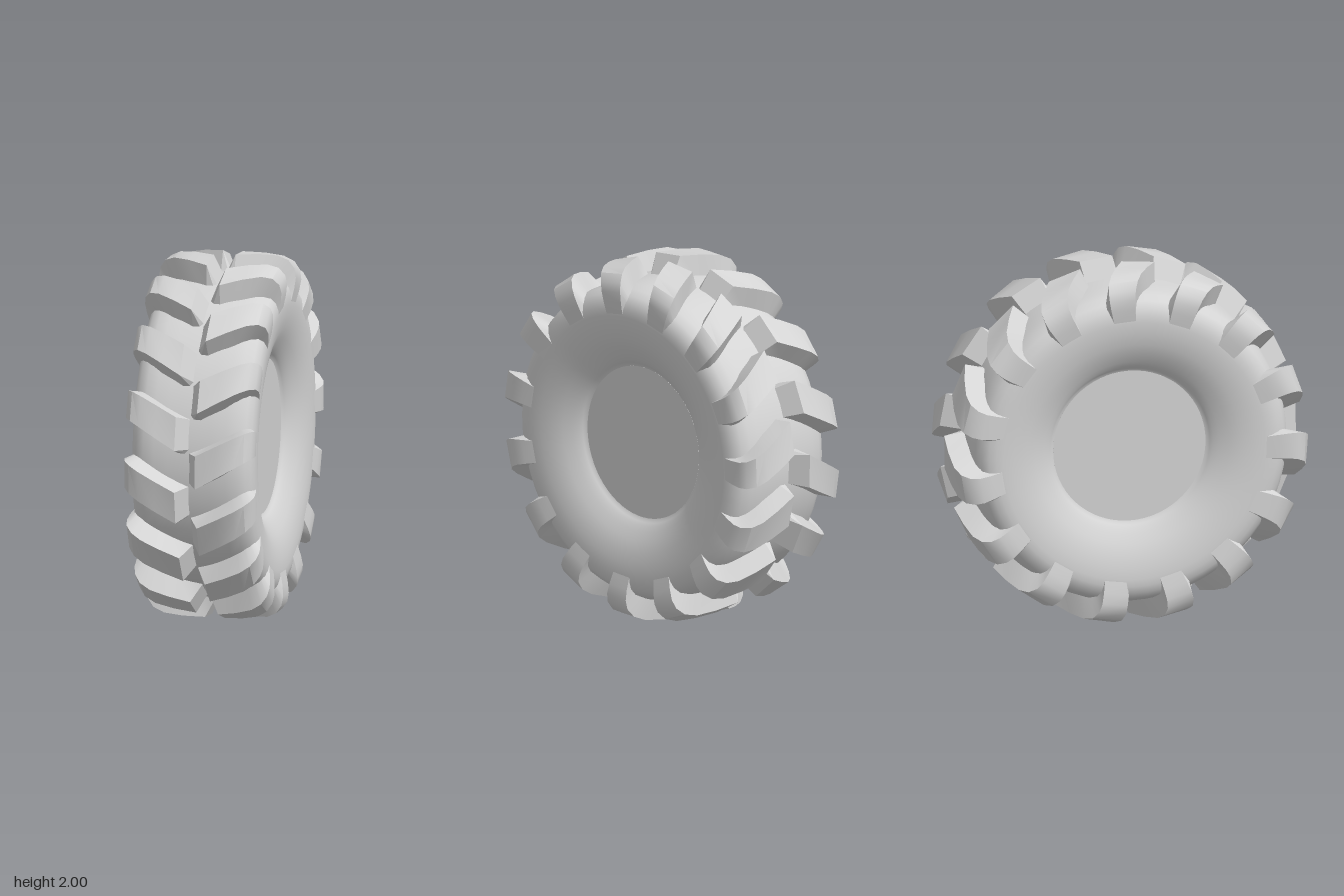
import * as THREE from 'three';
import { toCreasedNormals } from 'three/addons/utils/BufferGeometryUtils.js';

const rad = THREE.MathUtils.degToRad;
const LUGS = 15;

// Half profile of the carcass from crown to bead: [distance from middle, radius]
const HALF = [
  [0, 0.89], [0.12, 0.888], [0.2, 0.882], [0.26, 0.87], [0.305, 0.845], [0.33, 0.81], [0.34, 0.77],
  [0.342, 0.73], [0.337, 0.67], [0.322, 0.6], [0.298, 0.54], [0.27, 0.49], [0.252, 0.463],
  [0.238, 0.447], [0.228, 0.438], [0.222, 0.425],
];

// Lug sections: [outer x, outer radius, buried x, buried radius, half width in degrees]
const SECTIONS = [
  [0, 0.885, 0, 0.83, 5.3],
  [0.058, 1.0, 0.058, 0.84, 5.3],
  [0.17, 0.999, 0.16, 0.84, 5.1],
  [0.265, 0.99, 0.22, 0.82, 4.9],
  [0.32, 0.965, 0.25, 0.8, 4.8],
  [0.352, 0.92, 0.27, 0.78, 4.7],
  [0.361, 0.87, 0.28, 0.76, 4.7],
  [0.355, 0.81, 0.28, 0.74, 4.7],
  [0.341, 0.74, 0.28, 0.72, 4.7],
];

// One raked tread bar; side is +1 or -1
function lugGeometry(side) {
  const rings = SECTIONS.map(([x, r, bx, br, half]) => {
    const mid = Math.max(0, (x - 0.058) / 0.3) * 9.5;
    const point = (px, pr, deg) => [side * px, pr * Math.sin(rad(deg)), pr * Math.cos(rad(deg))];
    return [
      point(x, r, mid - half), point(x, r, mid + half),
      point(bx, br, mid + half + 2.2), point(bx, br, mid - half - 2.2),
    ];
  });
  const pos = [];
  for (let i = 0; i < rings.length - 1; i++) {
    for (let k = 0; k < 4; k++) {
      const n = (k + 1) % 4;
      const a = rings[i][k], b = rings[i + 1][k], c = rings[i + 1][n], d = rings[i][n];
      const tris = side > 0 ? [a, b, c, a, c, d] : [a, c, b, a, d, c];
      tris.forEach((p) => pos.push(...p));
    }
  }
  const geo = new THREE.BufferGeometry();
  geo.setAttribute('position', new THREE.Float32BufferAttribute(pos, 3));
  return toCreasedNormals(geo, 0.5);
}

export function createModel() {
  const group = new THREE.Group();
  group.name = 'tractorTyre';
  const rubber = new THREE.MeshStandardMaterial({ color: 0xd4d4d4 });
  rubber.name = 'lightGrey';

  const wheel = new THREE.Group();
  wheel.name = 'wheel';
  wheel.position.y = 1;
  group.add(wheel);

  // Carcass, turned about the axle
  const profile = [
    ...HALF.slice(1).reverse().map(([x, r]) => new THREE.Vector2(r, -x)),
    ...HALF.map(([x, r]) => new THREE.Vector2(r, x)),
  ];
  const carcass = new THREE.Mesh(new THREE.LatheGeometry(profile, 64).rotateZ(-Math.PI / 2), rubber);
  carcass.name = 'carcass';
  wheel.add(carcass);

  // Flat hub plate closing both sides
  const hub = new THREE.Mesh(new THREE.CylinderGeometry(0.426, 0.426, 0.446, 64).rotateZ(-Math.PI / 2), rubber);
  hub.name = 'hub';
  wheel.add(hub);

  // Two staggered rows of tread lugs
  for (const side of [1, -1]) {
    const geo = lugGeometry(side);
    const start = side > 0 ? 1 : 13;
    for (let i = 0; i < LUGS; i++) {
      const lug = new THREE.Mesh(geo, rubber);
      lug.name = side > 0 ? 'leftLug' : 'rightLug';
      lug.rotation.x = -rad(start + (i * 360) / LUGS);
      wheel.add(lug);
    }
  }
  return group;
}
